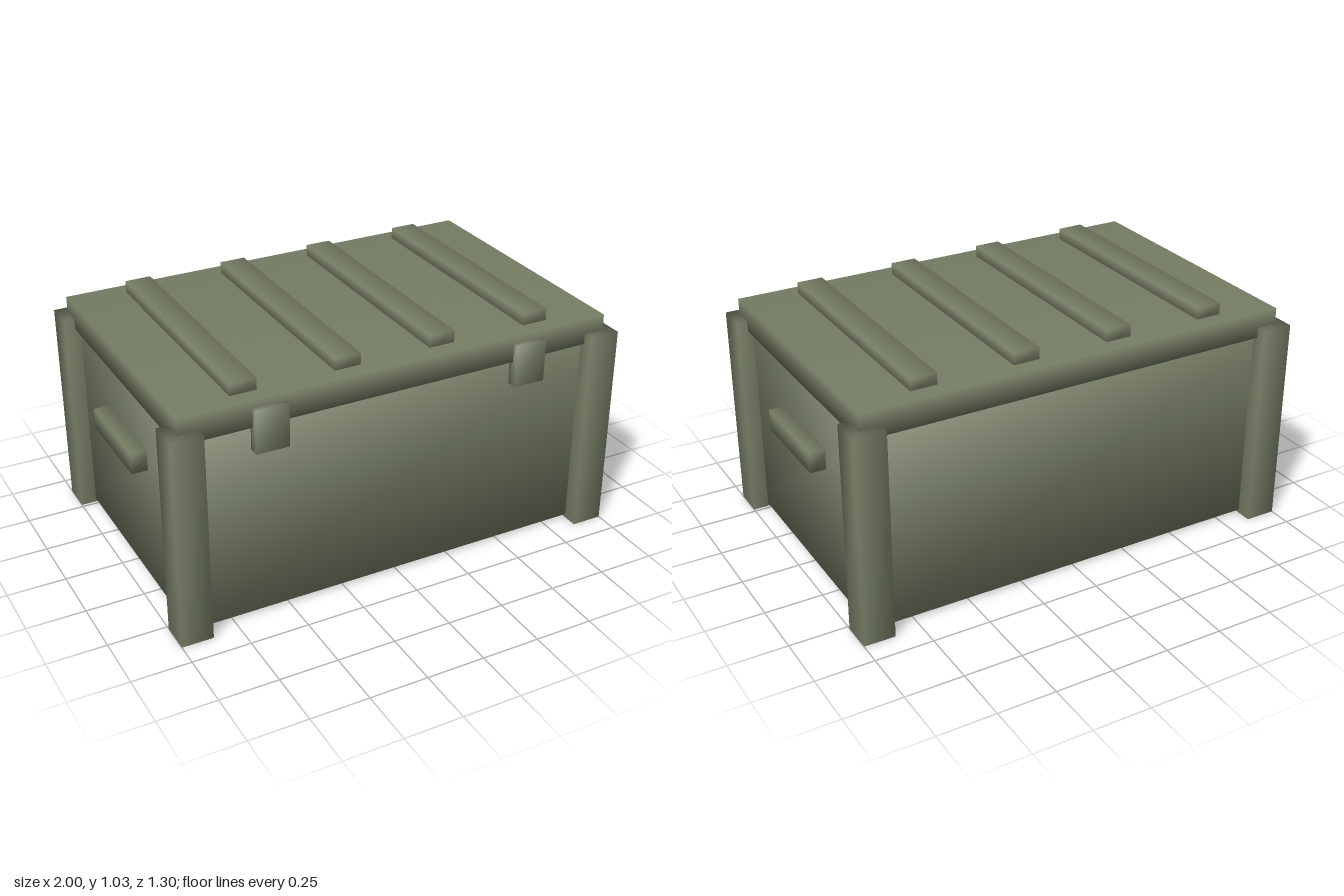
import * as THREE from 'three';
import { mergeVertices } from 'three/addons/utils/BufferGeometryUtils.js';

const olive = new THREE.MeshStandardMaterial({ color: 0x757d65 });

// Box with shared corners, so shading runs smoothly around its edges
function softBox(w, h, d) {
  const box = new THREE.BoxGeometry(w, h, d);
  box.deleteAttribute('normal');
  box.deleteAttribute('uv');
  const geometry = mergeVertices(box);
  geometry.computeVertexNormals();
  return geometry;
}

export function createModel() {
  const crate = new THREE.Group();
  crate.name = 'storageCrate';

  const add = (name, [w, h, d], [x, y, z]) => {
    const mesh = new THREE.Mesh(softBox(w, h, d), olive);
    mesh.name = name;
    mesh.position.set(x, y, z);
    crate.add(mesh);
  };

  // Main box and overhanging lid
  add('body', [1.865, 0.855, 1.165], [0, 0.4425, 0]);
  add('lid', [1.91, 0.115, 1.21], [0, 0.9225, 0]);

  // Raised slats across the lid
  for (const x of [-0.655, -0.212, 0.212, 0.655]) {
    add('lidSlat', [0.113, 0.07, 1.07], [x, 0.995, 0]);
  }

  for (const side of [-1, 1]) {
    // Corner posts centred on the body's corners
    for (const end of [-1, 1]) {
      add('cornerPost', [0.135, 0.91, 0.135], [side * 0.9325, 0.455, end * 0.5825]);
    }
    // Front latches and end handles
    add('latch', [0.14, 0.185, 0.05], [side * 0.58, 0.8525, 0.605]);
    add('handle', [0.09, 0.09, 0.42], [side * 0.955, 0.595, 0]);
  }

  return crate;
}
